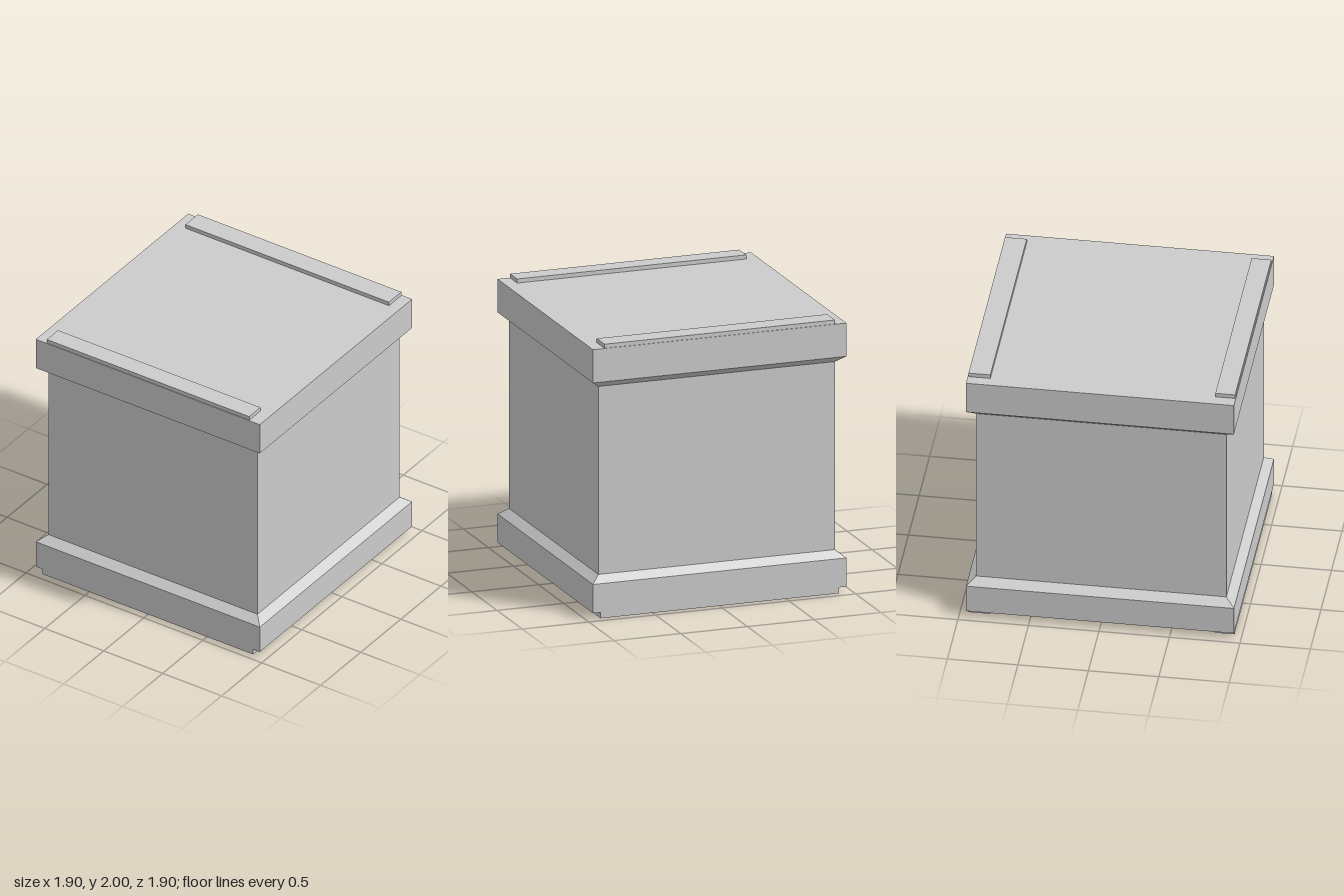
import * as THREE from 'three';

export function createModel() {
  const group = new THREE.Group();
  const material = new THREE.MeshStandardMaterial({ color: 0xcccccc, flatShading: true });

  function add(name, geometry) {
    const mesh = new THREE.Mesh(geometry, material);
    mesh.name = name;
    group.add(mesh);
    return mesh;
  }

  // Square section swept up a profile of [half width, height] points
  function squareLathe(name, profile) {
    const points = profile.map(([half, y]) => new THREE.Vector2(half * Math.SQRT2, y));
    const geometry = new THREE.LatheGeometry(points, 4, Math.PI / 4).toNonIndexed();
    geometry.computeVertexNormals();
    add(name, geometry);
  }

  // Bar lying along x, given by its limits
  function bar(name, x0, x1, y0, y1, z0, z1) {
    add(name, new THREE.BoxGeometry(x1 - x0, y1 - y0, z1 - z0))
      .position.set((x0 + x1) / 2, (y0 + y1) / 2, (z0 + z1) / 2);
  }

  // Crate: bevelled base rim, plain walls, bevelled lid rim
  squareLathe('baseRim', [[0, 0.045], [0.95, 0.045], [0.95, 0.255], [0.887, 0.305]]);
  squareLathe('walls', [[0.887, 0.305], [0.887, 1.678]]);
  squareLathe('lidRim', [[0.887, 1.678], [0.95, 1.727], [0.95, 1.97], [0, 1.97]]);

  // Battens on the lid
  bar('frontLidBatten', -0.86, 0.857, 1.96, 2, 0.805, 0.945);
  bar('backLidBatten', -0.865, 0.862, 1.96, 2, -0.945, -0.79);

  // Runners under the base
  bar('frontRunner', -0.895, 0.89, 0, 0.055, 0.803, 0.946);
  bar('backRunner', -0.895, 0.89, 0, 0.055, -0.943, -0.785);

  return group;
}
